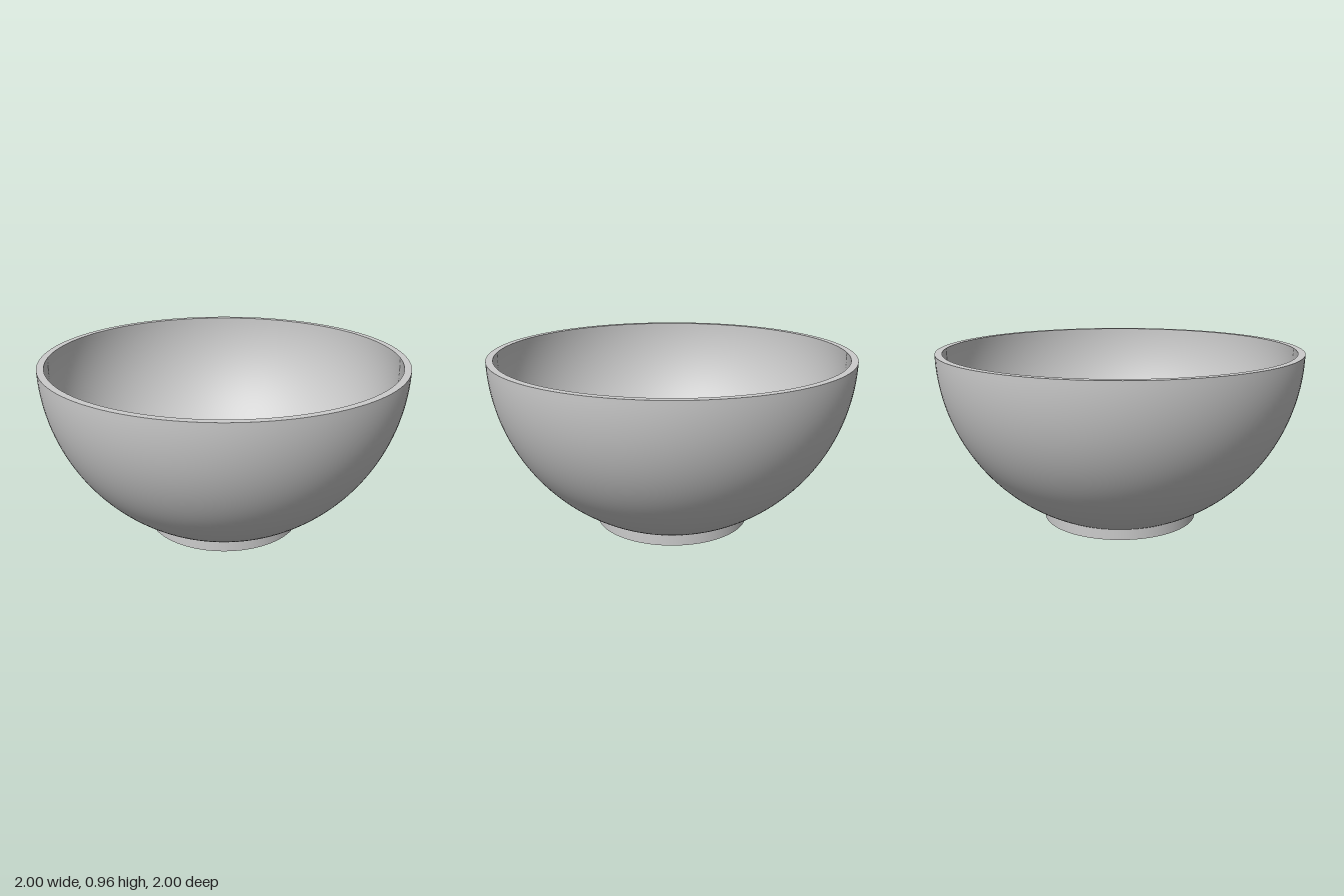
import * as THREE from 'three';

const SEGMENTS = 128;
const RIM_Y = 0.96;

// Points along a spherical arc centred at rim height, from angle a0 to a1 above straight down
function arc(radius, a0, a1, steps) {
  return Array.from({ length: steps + 1 }, (_, i) => {
    const a = a0 + ((a1 - a0) * i) / steps;
    return [radius * Math.sin(a), RIM_Y - radius * Math.cos(a)];
  });
}

export function createModel() {
  const bowl = new THREE.Group();
  bowl.name = 'bowl';
  const material = new THREE.MeshStandardMaterial({ color: 0xcccccc });

  // Each band is its own lathe, so edges between bands stay crisp
  const addBand = (name, points) => {
    const profile = points.map(([r, y]) => new THREE.Vector2(r, y));
    const mesh = new THREE.Mesh(new THREE.LatheGeometry(profile, SEGMENTS), material);
    mesh.name = name;
    bowl.add(mesh);
  };

  const footR = 0.434;
  const outerStart = Math.asin(footR);
  const innerR = 0.962;
  const floorStart = Math.asin(0.42 / innerR);
  const footTop = RIM_Y - Math.cos(outerStart);

  // Foot ring with a shallow dished recess beneath
  addBand('footRecess', [[0, 0.052], [0.29, 0.052], [0.32, 0.049], [0.35, 0.038], [0.374, 0.02], [0.388, 0]]);
  addBand('footBase', [[0.388, 0], [footR, 0]]);
  addBand('footWall', [[footR, 0], [footR, footTop]]);

  // Body and flat rim
  addBand('outerWall', arc(1, outerStart, Math.PI / 2, 40));
  addBand('rim', [[1, RIM_Y], [innerR, RIM_Y]]);

  // Inside wall running into a flat floor
  const inner = arc(innerR, Math.PI / 2, floorStart, 40);
  const floorY = inner[inner.length - 1][1];
  addBand('innerWall', [...inner, [0.38, floorY - 0.006], [0.34, floorY - 0.008], [0, floorY - 0.008]]);

  return bowl;
}
